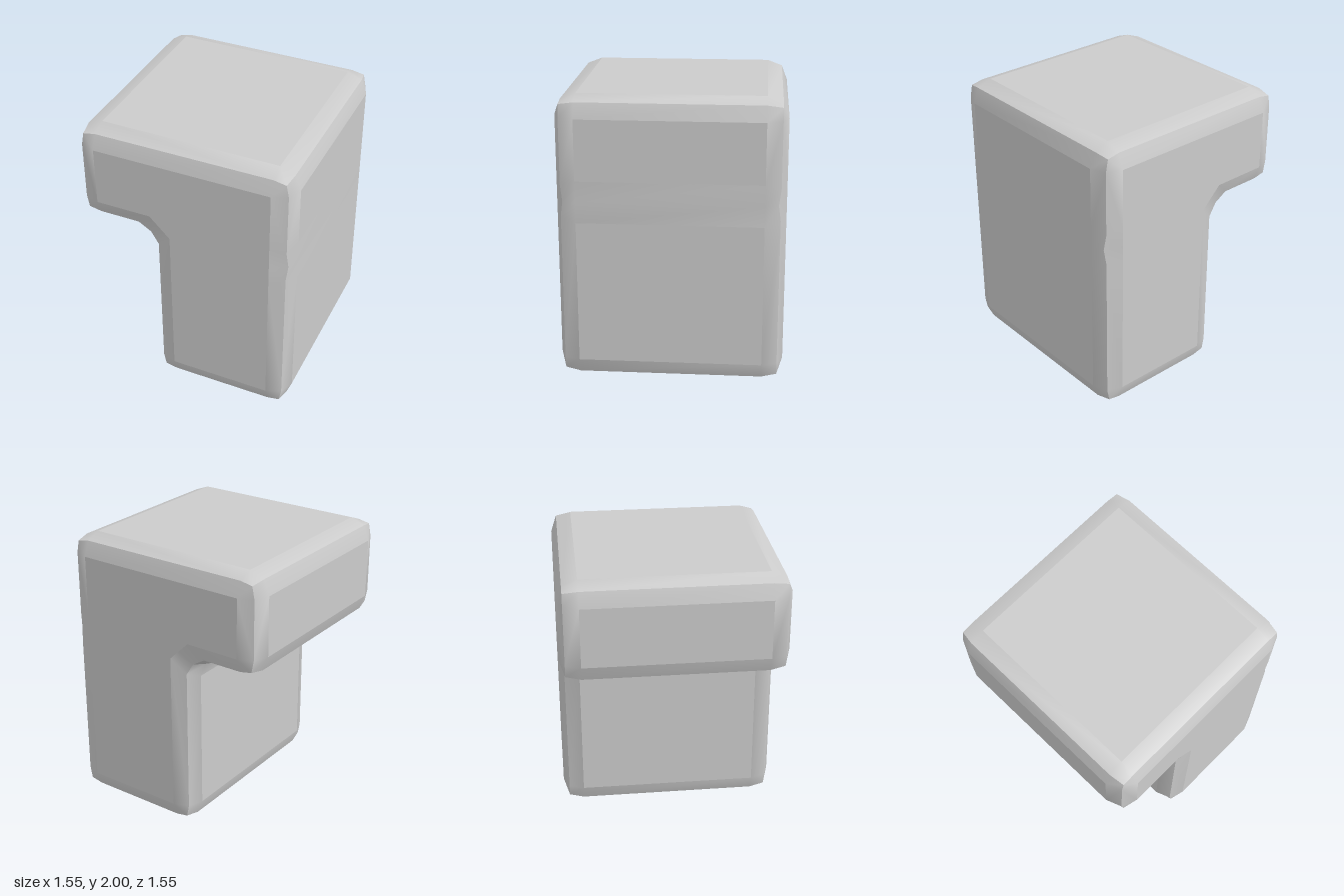
import * as THREE from 'three';
import { mergeVertices } from 'three/addons/utils/BufferGeometryUtils.js';

const material = new THREE.MeshStandardMaterial({ color: 0xcccccc });

// Flat outline of the front, counterclockwise; the last corner is the concave one
const core = [[-0.09, 0.145], [0.63, 0.145], [0.63, 1.855], [-0.63, 1.855], [-0.63, 1.435]];

// Three rings from the flat front (0) over the bevel edge (1) to the side walls (2)
const rings = [
  { z: 0.775, out: 0, diag: 0,
    inner: [[-0.235, 1.435], [-0.162, 1.363], [-0.09, 1.29]],
    band: [[0.63, 1.145], [0.63, 1.29], [0.63, 1.435]] },
  { z: 0.735, out: 0.105, diag: 0.088,
    inner: [[-0.34, 1.33], [-0.25, 1.275], [-0.195, 1.185]],
    band: [[0.735, 1.18], [0.745, 1.29, 0.72], [0.735, 1.4]] },
  { z: 0.63, out: 0.145, diag: 0.105,
    inner: [[-0.38, 1.29], [-0.277, 1.247], [-0.235, 1.145]],
    band: [[0.775, 1.145], [0.775, 1.29], [0.775, 1.435]] },
];

// Outward directions of the edges that leave each core corner
const normals = [[0, -1], [1, 0], [0, 1], [-1, 0], [0, -1]];

// Each corner becomes three points: end of one edge, middle, start of the next
function cornerPoints(ring, i) {
  if (i === 5) return ring.inner;
  const [x, y] = core[i];
  const p = i === 0 ? [-1, 0] : normals[i - 1];
  const n = normals[i];
  return [
    [x + p[0] * ring.out, y + p[1] * ring.out],
    [x + (p[0] + n[0]) * ring.diag, y + (p[1] + n[1]) * ring.diag],
    [x + n[0] * ring.out, y + n[1] * ring.out],
  ];
}

// Points along one edge, from corner middle to corner middle
function edgePoints(ring, k) {
  // corner 0's edge is the bottom, then right, top, left, underside and inner wall
  const from = cornerPoints(ring, k), to = cornerPoints(ring, (k + 1) % 6);
  const extra = k === 1 ? ring.band : [];
  return [from[1], from[2], ...extra, to[0], to[1]]
    .map(([x, y, z]) => new THREE.Vector3(x, y, z ?? ring.z));
}

const mirrorZ = (v) => new THREE.Vector3(v.x, v.y, -v.z);

// Smooth mesh from a list of four-cornered faces
function quadMesh(name, quads) {
  const points = quads.flatMap(([a, b, c, d]) => [a, b, c, a, c, d]);
  const geometry = mergeVertices(new THREE.BufferGeometry().setFromPoints(points), 1e-4);
  geometry.computeVertexNormals();
  const mesh = new THREE.Mesh(geometry, material);
  mesh.name = name;
  return mesh;
}

export function createModel() {
  const model = new THREE.Group();
  model.name = 'bevelledBlock';
  const loops = rings.map((ring) =>
    [0, 1, 2, 3, 4, 5].flatMap((k) => edgePoints(ring, k).slice(0, -1)));

  // Front and back: flat panel with a sloped border
  const outline = new THREE.Shape([
    ...core.map(([x, y]) => new THREE.Vector2(x, y)),
    new THREE.Vector2(-0.235, 1.435), new THREE.Vector2(-0.09, 1.29),
  ]);
  const border = loops[0].map((_, i) => {
    const j = (i + 1) % loops[0].length;
    return [loops[1][i], loops[1][j], loops[0][j], loops[0][i]];
  });
  for (const side of ['front', 'back']) {
    const panel = new THREE.Mesh(new THREE.ShapeGeometry(outline), material);
    panel.name = side + 'Panel';
    panel.position.z = rings[0].z;
    if (side === 'back') {
      // mirrored by turning the winding as well
      const index = panel.geometry.index;
      for (let i = 0; i < index.count; i += 3) {
        const t = index.getX(i);
        index.setX(i, index.getX(i + 1));
        index.setX(i + 1, t);
      }
      panel.geometry.computeVertexNormals();
      panel.position.z = -rings[0].z;
    }
    const quads = side === 'front' ? border
      : border.map((q) => q.map(mirrorZ).reverse());
    model.add(panel, quadMesh(side + 'Bevel', quads));
  }

  // Side walls: flat panels inside a smooth bevel frame
  ['bottom', 'left', 'top', 'right', 'underside', 'innerWall'].forEach((name, k) => {
    const edge = edgePoints(rings[1], k), wall = edgePoints(rings[2], k);
    const rows = [edge, wall, wall.map(mirrorZ), edge.map(mirrorZ)];
    const flats = [], frame = [];
    for (let s = 0; s < 3; s++) {
      for (let i = 0; i < edge.length - 1; i++) {
        const isFlat = s === 1 && (i === 1 || i === edge.length - 3);
        (isFlat ? flats : frame).push(
          [rows[s][i], rows[s + 1][i], rows[s + 1][i + 1], rows[s][i + 1]]);
      }
    }
    model.add(quadMesh(name + 'Panel', flats), quadMesh(name + 'Bevel', frame));
  });
  return model;
}
